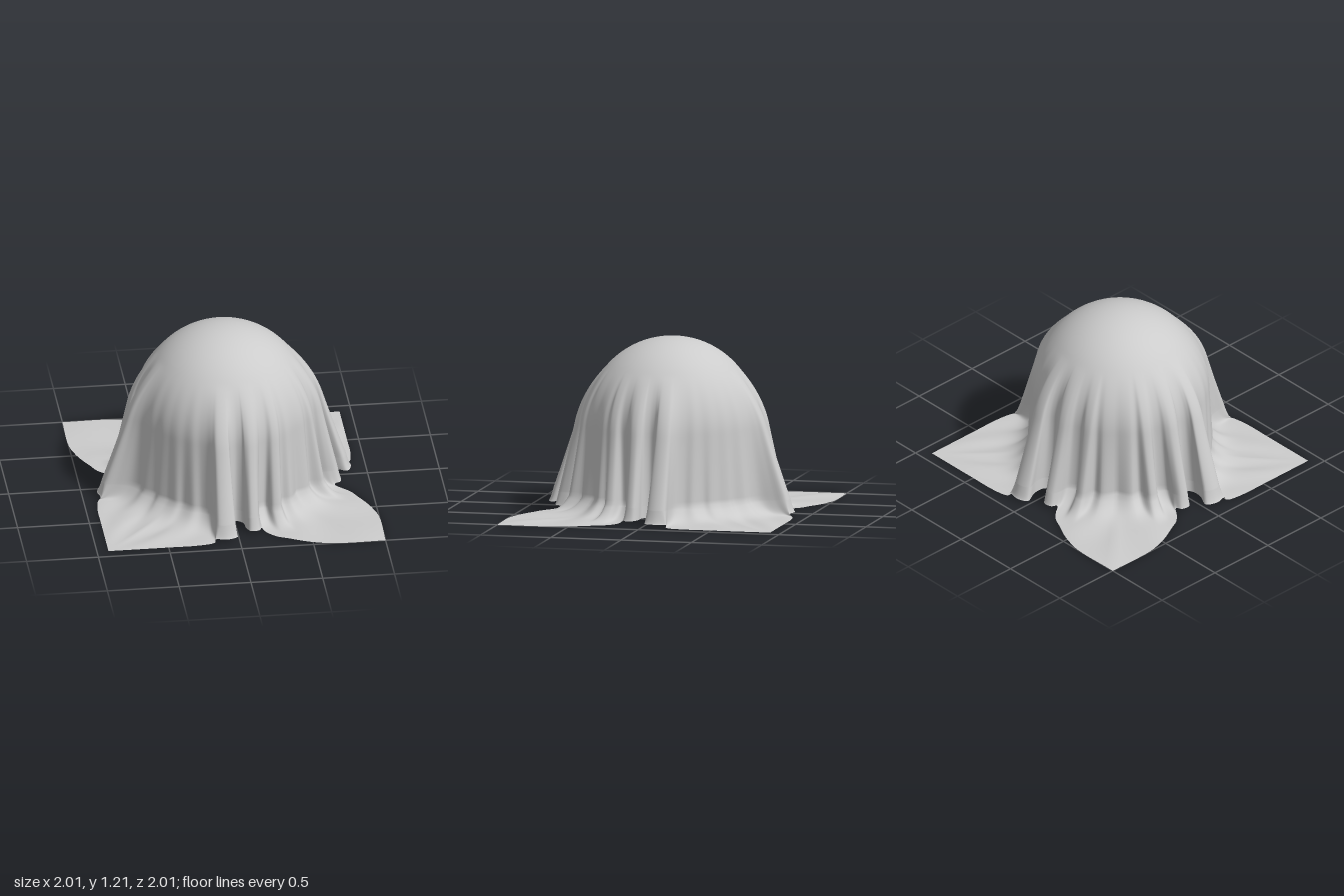
import * as THREE from 'three';

// Quarter of the cloth, from the short corner to the long corner:
// [angle on the dome, foot x, foot z, rim x, rim z]
const FOLDS = [
  [-45, -.45, .45, -.92, .92],
  [-40, -.40, .51, -.78, .92],
  [-34, -.35, .53, -.62, .92],
  [-29, -.29, .60, -.48, .92],
  [-24, -.23, .62, -.32, .92],
  [-20, -.18, .68, -.20, .905],
  [-16, -.16, .78, -.17, .89],
  [-13, -.15, .87, -.17, .88],
  [-10, -.08, .885, -.085, .895],
  [-7, -.02, .85, -.01, .86],
  [-4, -.05, .76, -.045, .765],
  [-1.5, -.045, .68, -.04, .685],
  [1, 0, .645, 0, .65],
  [4, .05, .68, .05, .685],
  [6, .06, .75, .06, .755],
  [9, .09, .795, .09, .80],
  [12, .14, .78, .15, .79],
  [15, .155, .72, .17, .75],
  [18, .15, .64, .20, .79],
  [22, .21, .60, .26, .85],
  [26, .26, .67, .34, .89],
  [30, .32, .66, .44, .94],
  [33, .33, .56, .52, .97],
  [37, .40, .55, .65, 1],
  [45, .45, .45, 1, 1],
];
const COLS = 120, SKIRT_ROWS = 60, FLAP_ROWS = 24;
const TOP = 1.21, RADIUS = 0.6, CENTRE = TOP - RADIUS, FOOT = 0.12;

const foot = new THREE.CatmullRomCurve3(
  FOLDS.map(([a, x, z]) => new THREE.Vector3(x, THREE.MathUtils.degToRad(a), z)));
const rim = new THREE.CatmullRomCurve3(
  FOLDS.map(([, , , x, z]) => new THREE.Vector3(x, 0, z)));

// Point of the hanging part: a ball down to its equator, folds widening below
function skirtPoint(f, y) {
  const h = Math.max(0, y - CENTRE);
  const r = Math.sqrt(Math.max(0, RADIUS * RADIUS - h * h));
  const w = Math.pow(Math.max(0, 1 - y) / 0.95, 1.15);
  const sx = Math.sin(f.y), sz = Math.cos(f.y);
  return new THREE.Vector3(
    sx * r + (f.x - sx * RADIUS) * w, y, sz * r + (f.z - sz * RADIUS) * w);
}

// One strip of cloth from the crown to the rim
function column(t) {
  const f = foot.getPoint(t), o = rim.getPoint(t), points = [];
  for (let i = 0; i <= SKIRT_ROWS; i++) {
    const s = i / SKIRT_ROWS;
    points.push(skirtPoint(f, TOP - (TOP - FOOT) * Math.pow(s, 1.6)));
  }
  // Flap: settles onto the floor where it is long, stays a raised hem where short
  const start = points[SKIRT_ROWS];
  const length = Math.hypot(o.x - start.x, o.z - start.z);
  const low = 0.003 + 0.037 * Math.exp(-length * 15);
  for (let i = 1; i <= FLAP_ROWS; i++) {
    const q = i / FLAP_ROWS;
    const wrinkle = 0.05 * length * q * (1 - q) * (1 + Math.sin(f.y * 22 + q * 3));
    points.push(new THREE.Vector3(
      THREE.MathUtils.lerp(start.x, o.x, q),
      low + (FOOT - low) * Math.pow(1 - q, 1 + length * 12) + wrinkle,
      THREE.MathUtils.lerp(start.z, o.z, q)));
  }
  return points;
}

export function createModel() {
  const strips = [];
  for (let j = 0; j <= COLS; j++) strips.push(column(j / COLS));

  // Four quarters, mirrored across the two diagonals
  const quarters = [
    p => [p.x, p.y, p.z], p => [p.z, p.y, p.x],
    p => [-p.x, p.y, -p.z], p => [-p.z, p.y, -p.x],
  ];
  const positions = [], indices = [];
  quarters.forEach((place, k) => {
    for (let j = 0; j < COLS; j++) {
      const strip = strips[k % 2 ? COLS - j : j];
      strip.forEach(p => positions.push(...place(p)));
    }
  });

  const rows = SKIRT_ROWS + FLAP_ROWS + 1, ring = COLS * 4;
  for (let c = 0; c < ring; c++) {
    for (let r = 0; r < rows - 1; r++) {
      const a = c * rows + r, b = ((c + 1) % ring) * rows + r;
      if (r > 0) indices.push(a, a + 1, b);
      indices.push(b, a + 1, b + 1);
    }
  }
  const geometry = new THREE.BufferGeometry();
  geometry.setAttribute('position', new THREE.Float32BufferAttribute(positions, 3));
  geometry.setIndex(indices);
  geometry.computeVertexNormals();
  // Crown vertices share one upright normal
  for (let c = 0; c < ring; c++) geometry.attributes.normal.setXYZ(c * rows, 0, 1, 0);

  const cloth = new THREE.Mesh(geometry, new THREE.MeshStandardMaterial({
    color: 0xcccccc, side: THREE.DoubleSide }));
  cloth.name = 'drapedCloth';
  const group = new THREE.Group();
  group.name = 'clothOverBall';
  group.add(cloth);
  return group;
}
